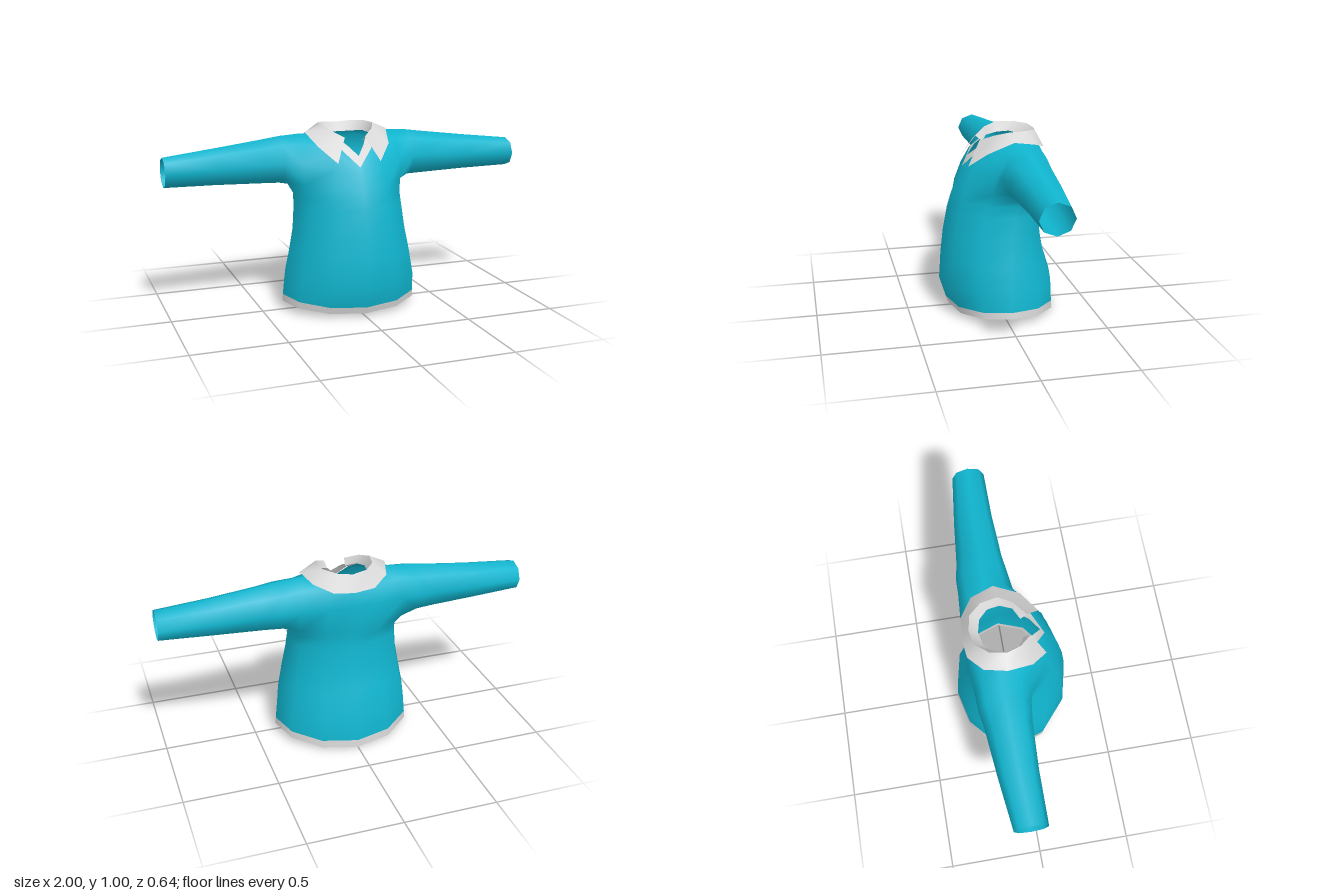
import * as THREE from 'three';

const teal = new THREE.MeshStandardMaterial({ color: 0x10b6d0, side: THREE.DoubleSide });
teal.name = 'teal cloth';
const grey = new THREE.MeshStandardMaterial({ color: 0xd9d9d9, side: THREE.DoubleSide });
grey.name = 'pale grey trim';

const N = 12; // columns round the torso: 0 front, 3 left side, 6 back, 9 right side

function indexed(points, index) {
  const g = new THREE.BufferGeometry();
  g.setAttribute('position', new THREE.Float32BufferAttribute(points.flat(), 3));
  g.setIndex(index);
  g.computeVertexNormals();
  return g;
}

// Strip surface from rows of points
function sheet(rows) {
  const n = rows[0].length, index = [];
  for (let r = 0; r < rows.length - 1; r++) {
    for (let i = 0; i < n - 1; i++) {
      const a = r * n + i, b = a + n;
      index.push(a, a + 1, b + 1, a, b + 1, b);
    }
  }
  return indexed(rows.flat(), index);
}

// Mirror a half row that starts on the centre line into a closed ring
const closeRing = half => [...half, ...half.slice(1, -1).reverse().map(([x, y, z]) => [-x, y, z])];
// Mirror a half row into an open strip running from right to left
const openRow = half => [...half.slice(1).reverse().map(([x, y, z]) => [-x, y, z]), ...half];

function shirtGeometry() {
  // Lower torso: height, half width, front z, back z, side z, front dip, back dip
  const lower = [
    [0.045, 0.385, 0.272, -0.318, -0.01, 0.028, 0.045],
    [0.082, 0.382, 0.284, -0.315, -0.01, 0.028, 0.04],
    [0.19, 0.371, 0.32, -0.309, -0.01, 0.02, 0.01],
    [0.32, 0.345, 0.31, -0.265, -0.01, 0, 0],
    [0.45, 0.318, 0.295, -0.24, -0.02, 0, 0],
    [0.58, 0.304, 0.27, -0.23, -0.04, 0, 0],
    [0.64, 0.302, 0.252, -0.23, -0.06, 0, 0],
  ];
  const rings = lower.map(([y, w, zf, zb, zs, df, db]) => Array.from({ length: N }, (_, i) => {
    const t = i * 2 * Math.PI / N, c = Math.cos(t);
    return [w * Math.sin(t), y - (c > 0 ? df : db) * c * c, zs + (c > 0 ? zf - zs : zs - zb) * c];
  }));
  // Upper torso: underarm, chest, shoulder and neckline, from front to back
  const armRow = rings.length;
  rings.push(
    closeRing([[0, 0.68, 0.235], [0.155, 0.69, 0.2], [0.275, 0.705, 0.075], [0.325, 0.685, -0.08],
      [0.28, 0.7, -0.19], [0.15, 0.69, -0.228], [0, 0.68, -0.232]]),
    closeRing([[0, 0.755, 0.2], [0.14, 0.79, 0.165], [0.285, 0.815, 0.05], [0.3, 0.82, -0.08],
      [0.28, 0.82, -0.23], [0.14, 0.82, -0.24], [0, 0.82, -0.244]]),
    closeRing([[0, 0.79, 0.183], [0.12, 0.875, 0.122], [0.26, 0.915, 0.01], [0.265, 0.955, -0.09],
      [0.26, 0.925, -0.19], [0.13, 0.915, -0.215], [0, 0.91, -0.22]]),
    closeRing([[0, 0.805, 0.175], [0.085, 0.89, 0.112], [0.13, 0.94, 0.03], [0.15, 0.96, -0.07],
      [0.12, 0.955, -0.15], [0.06, 0.95, -0.185], [0, 0.945, -0.195]]),
  );
  const points = rings.flat(), index = [];
  for (let r = 0; r < rings.length - 1; r++) {
    for (let i = 0; i < N; i++) {
      const armhole = r >= armRow && r < armRow + 2 && [2, 3, 8, 9].includes(i);
      if (armhole) continue;
      const j = (i + 1) % N, a = r * N, b = a + N;
      index.push(a + i, a + j, b + j, a + i, b + j, b + i);
    }
  }
  // Sleeves grow from the eight points round each armhole
  const root = [[0, 3], [0, 2], [1, 2], [2, 2], [2, 3], [2, 4], [1, 4], [0, 4]];
  const sleeve = [ // x, centre y, centre z, radius y, radius z
    [0.37, 0.82, -0.09, 0.128, 0.138],
    [0.47, 0.815, -0.088, 0.119, 0.123],
    [0.72, 0.804, -0.082, 0.099, 0.105],
    [1, 0.792, -0.066, 0.08, 0.088],
  ];
  for (const s of [1, -1]) {
    let prev = root.map(([r, i]) => (armRow + r) * N + (s > 0 ? i : N - i));
    for (const [x, cy, cz, ry, rz] of sleeve) {
      const next = prev.map((_, k) => {
        const t = k * Math.PI / 4;
        return points.push([s * x, cy - ry * Math.cos(t), cz + rz * Math.sin(t)]) - 1;
      });
      for (let k = 0; k < 8; k++) {
        const m = (k + 1) % 8;
        const [a, b, c, d] = [prev[k], next[k], next[m], prev[m]];
        index.push(...(s > 0 ? [a, b, c, a, c, d] : [a, c, b, a, d, c]));
      }
      prev = next;
    }
  }
  // The lowest row of faces is the hem band
  const g = indexed(points, index);
  g.addGroup(0, N * 6, 0);
  g.addGroup(N * 6, index.length - N * 6, 1);
  return g;
}

export function createModel() {
  const group = new THREE.Group();
  const add = (name, geometry, material) => {
    const mesh = new THREE.Mesh(geometry, material);
    mesh.name = name;
    group.add(mesh);
  };

  add('shirtWithHem', shirtGeometry(), [grey, teal]);

  // Folded collar: outer edge, fold and inner stand, from back to front tip
  const outer = [[0, 0.905, -0.252], [0.11, 0.912, -0.24], [0.2, 0.945, -0.17],
    [0.235, 0.968, -0.05], [0.2, 0.905, 0.085], [0.12, 0.825, 0.172]];
  const fold = [[0, 0.992, -0.212], [0.08, 1.0, -0.195], [0.135, 1.005, -0.13],
    [0.152, 1.005, -0.04], [0.12, 0.985, 0.035], [0.057, 0.95, 0.098]];
  const stand = [[0, 0.945, -0.165], [0.07, 0.948, -0.148], [0.115, 0.955, -0.1],
    [0.128, 0.95, -0.035], [0.105, 0.94, 0.03], [0.05, 0.92, 0.062]];
  // Rows run right to left round the back, so the fold row comes first to face outward
  add('collar', sheet([fold, outer].map(openRow)), grey);
  add('collarStand', sheet([stand, fold].map(openRow)), grey);

  // V-shaped neck trim
  const trimOuter = [[0, 0.8, 0.184], [0.085, 0.89, 0.121], [0.11, 0.93, 0.055]];
  const trimInner = [[0, 0.858, 0.158], [0.045, 0.908, 0.108], [0.08, 0.94, 0.045]];
  add('neckTrim', sheet([trimOuter, trimInner].map(openRow)), grey);

  return group;
}
